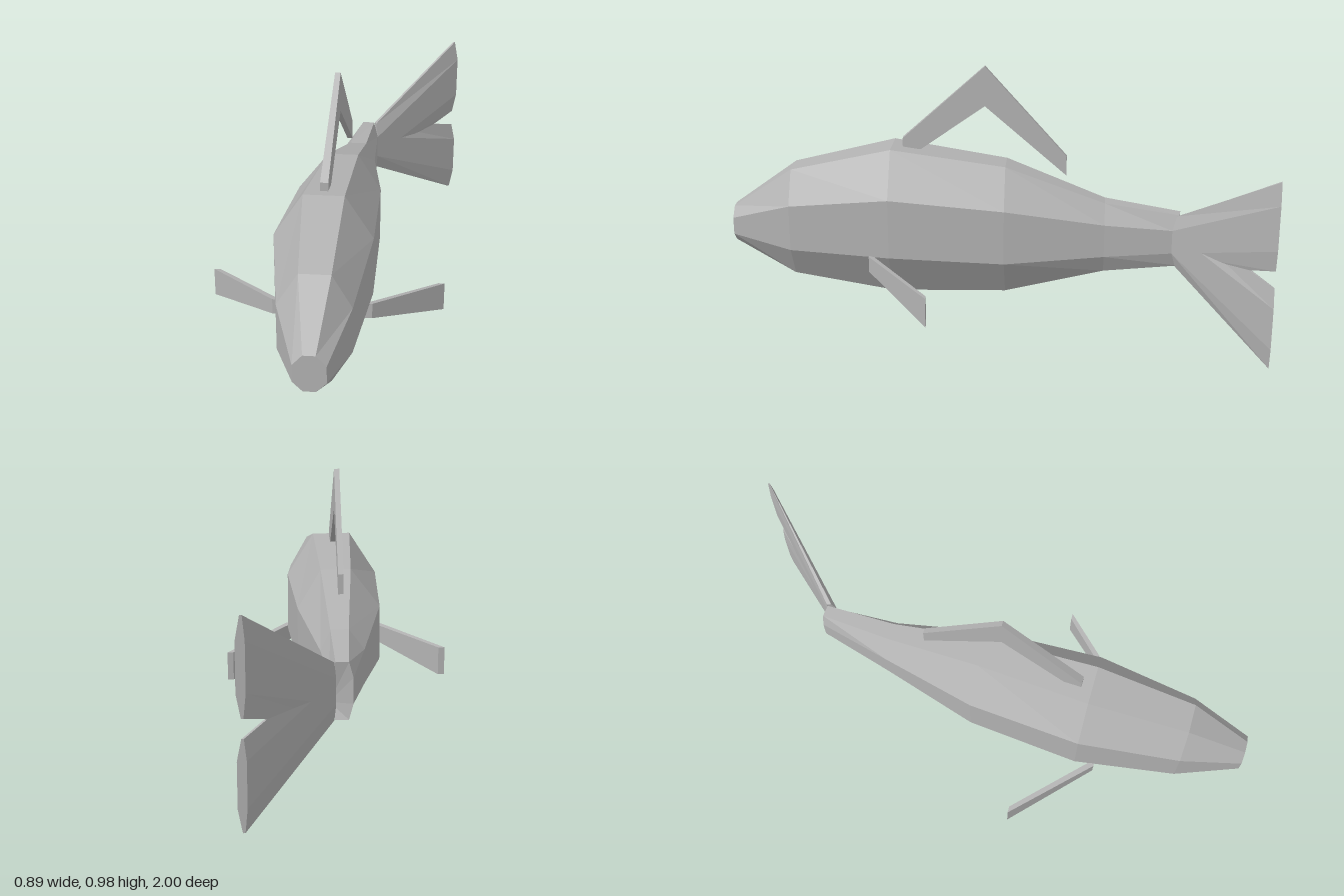
import * as THREE from 'three';

const grey = new THREE.MeshStandardMaterial({ color: 0xb2b2b2, flatShading: true });
grey.name = 'grey';

// Skin a row of rings (counterclockwise seen from +z, running towards -z) and cap both ends
function loft(name, rings) {
  const out = [];
  const tri = (...points) => points.forEach((p) => out.push(...p));
  const n = rings[0].length;
  for (let i = 0; i < rings.length - 1; i++) {
    for (let j = 0; j < n; j++) {
      const k = (j + 1) % n;
      const [a, b, c, d] = [rings[i][j], rings[i][k], rings[i + 1][j], rings[i + 1][k]];
      tri(a, c, b);
      tri(b, c, d);
    }
  }
  const first = rings[0], last = rings[rings.length - 1];
  for (let j = 1; j < n - 1; j++) {
    tri(first[0], first[j], first[j + 1]);
    tri(last[0], last[j + 1], last[j]);
  }
  const geometry = new THREE.BufferGeometry();
  geometry.setAttribute('position', new THREE.Float32BufferAttribute(out, 3));
  geometry.computeVertexNormals();
  const mesh = new THREE.Mesh(geometry, grey);
  mesh.name = name;
  return mesh;
}

// Eight-sided ring: outer and inner x on each side, four heights, z on each side
function octagon([xl, xtl, xtr, xr], [y0, y1, y2, y3], zl, zr = zl, zt = zl) {
  return [
    [xr, y1, zr], [xr, y2, zr], [xtr, y3, zt], [xtl, y3, zl],
    [xl, y2, zl], [xl, y1, zl], [xtl, y0, zl], [xtr, y0, zt],
  ];
}

const rectangle = (x0, x1, y0, y1, z) => [[x1, y0, z], [x1, y1, z], [x0, y1, z], [x0, y0, z]];

export function createModel() {
  const fish = new THREE.Group();
  fish.name = 'fish';

  // Body, from snout to tail root, bending to one side
  const rootHeights = [0.25, 0.305, 0.395, 0.45];
  fish.add(loft('body', [
    octagon([-0.057, -0.023, 0.02, 0.055], [0.28, 0.315, 0.38, 0.418], 1),
    octagon([-0.135, -0.06, 0.05, 0.12], [0.16, 0.28, 0.455, 0.578], 0.77),
    octagon([-0.19, -0.085, 0.062, 0.165], [0.103, 0.275, 0.503, 0.667], 0.39),
    octagon([-0.145, -0.035, 0.078, 0.165], [0.12, 0.263, 0.47, 0.615], 0.04 - 0.08),
    octagon([-0.036, 0.02, 0.085, 0.12], [0.215, 0.285, 0.41, 0.485], -0.41),
    octagon([0.04, 0.055, 0.1, 0.118], rootHeights, -0.69, -0.66, -0.685),
  ]));

  // Forked tail: two lobes that share the same root
  const lobes = { upperTailLobe: [0.375, 0.455, 0.62, 0.702], lowerTailLobe: [0, 0.08, 0.237, 0.31] };
  for (const [name, heights] of Object.entries(lobes)) {
    fish.add(loft(name, [
      octagon([0.098, 0.104, 0.11, 0.118], rootHeights, -0.69, -0.66, -0.675),
      octagon([0.412, 0.42, 0.428, 0.443], heights, -1),
    ]));
  }

  // Arched back fin
  fish.add(loft('backFin', [
    rectangle(-0.028, 0.001, 0.605, 0.695, 0.35),
    rectangle(-0.002, 0.018, 0.83, 0.98, 0.04),
    rectangle(0.02, 0.04, 0.575, 0.648, -0.265),
  ]));

  // Side fins, swept back and down
  fish.add(loft('leftFin', [
    rectangle(0.137, 0.167, 0.22, 0.28, 0.465),
    rectangle(0.397, 0.42, 0.118, 0.23, 0.225),
  ]));
  fish.add(loft('rightFin', [
    rectangle(-0.19, -0.16, 0.22, 0.28, 0.465),
    rectangle(-0.445, -0.42, 0.118, 0.23, 0.195),
  ]));

  return fish;
}
